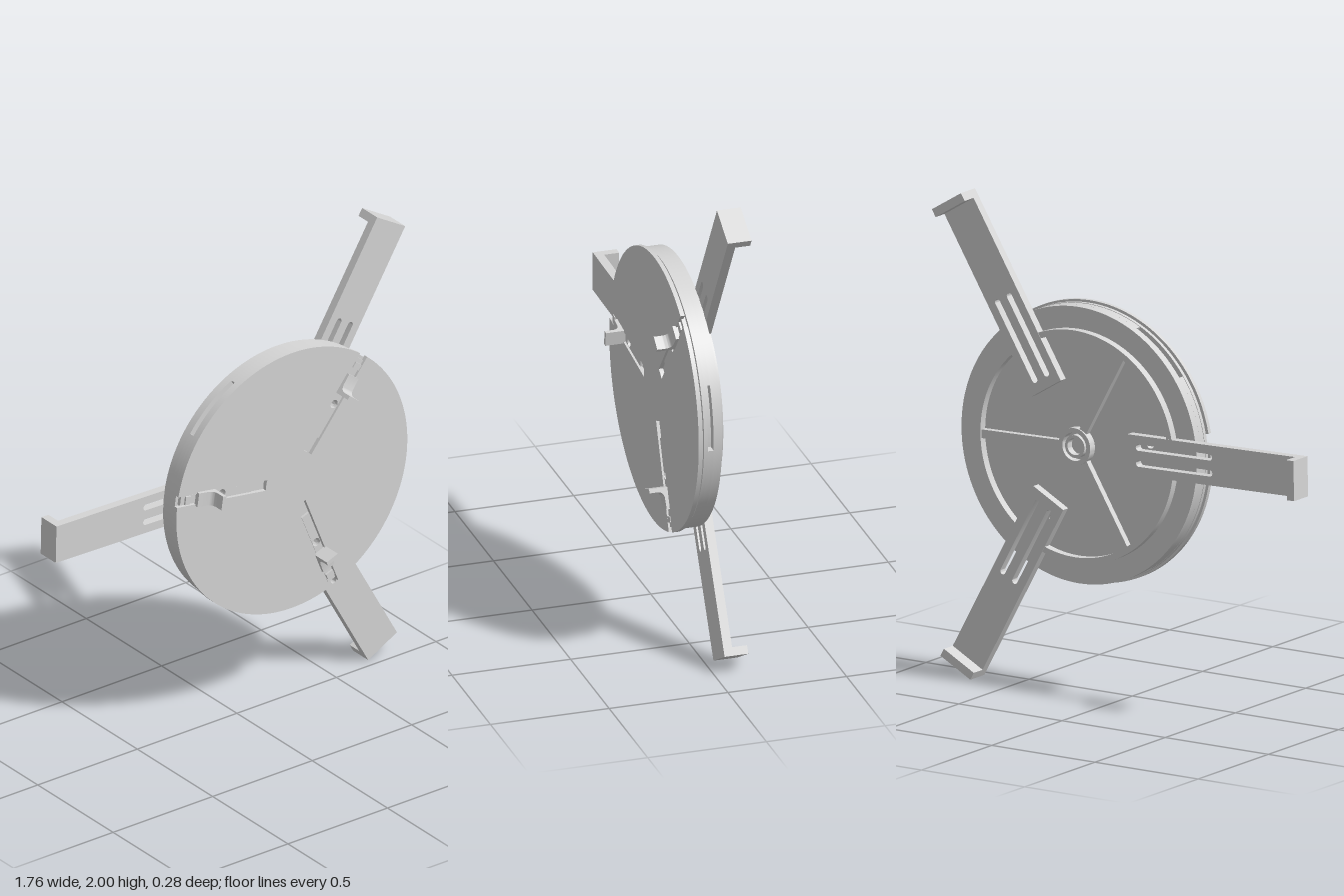
import * as THREE from 'three';
import { toCreasedNormals } from 'three/addons/utils/BufferGeometryUtils.js';

const rad = THREE.MathUtils.degToRad;
const ARM = 58.7;      // first arm angle, repeated every 120 degrees
const JAW = 51.5;      // first jaw slot angle
const WINDOW = 10.25;  // first rim window angle
const HOLE_R = 0.35;

const grey = new THREE.MeshStandardMaterial({ color: 0xd5d5d5 });
grey.name = 'lightGrey';

function add(parent, name, geometry) {
  const mesh = new THREE.Mesh(geometry, grey);
  mesh.name = name;
  parent.add(mesh);
  return mesh;
}

// Extrude a shape between two z heights
function slab(shape, z0, z1, segments = 32) {
  const g = new THREE.ExtrudeGeometry(shape, { depth: z1 - z0, bevelEnabled: false, curveSegments: segments });
  g.translate(0, 0, z0);
  return toCreasedNormals(g, rad(30));
}

function box(x0, x1, width, z0, z1) {
  return new THREE.BoxGeometry(x1 - x0, width, z1 - z0).translate((x0 + x1) / 2, 0, (z0 + z1) / 2);
}

function circle(r, x = 0, y = 0) {
  const s = new THREE.Shape();
  s.absarc(x, y, r, 0, Math.PI * 2, false);
  return s;
}

function ring(outer, inner) {
  const s = circle(outer);
  s.holes.push(circle(inner));
  return s;
}

// Part of a ring between two angles in degrees
function ringArc(outer, inner, from, to) {
  const s = new THREE.Shape();
  s.absarc(0, 0, outer, rad(from), rad(to), false);
  s.absarc(0, 0, inner, rad(to), rad(from), true);
  s.closePath();
  return s;
}

// Disc with three notches cut in from the rim
function notchedDisc(R, innerR, firstDeg, halfOuter, halfInner) {
  const s = new THREE.Shape();
  for (let k = 0; k < 3; k++) {
    const a = rad(firstDeg + 120 * k), b = a + rad(120);
    s.absarc(0, 0, innerR, a - halfInner, a + halfInner, false);
    s.absarc(0, 0, R, a + halfOuter, b - halfOuter, false);
  }
  s.closePath();
  return s;
}

// Small through holes below each jaw slot
function withJawHoles(s) {
  for (let k = 0; k < 3; k++) {
    const a = rad(JAW + 120 * k);
    s.holes.push(circle(0.018, HOLE_R * Math.cos(a), HOLE_R * Math.sin(a)));
  }
  return s;
}

// Rounded slot running along x
function slot(x0, x1, y, r) {
  const p = new THREE.Path();
  p.absarc(x1 - r, y, r, -Math.PI / 2, Math.PI / 2, false);
  p.absarc(x0 + r, y, r, Math.PI / 2, Math.PI * 1.5, false);
  p.closePath();
  return p;
}

function rectangle(x0, x1, width) {
  const h = width / 2;
  return new THREE.Shape([[x0, -h], [x1, -h], [x1, h], [x0, h]].map(([x, y]) => new THREE.Vector2(x, y)));
}

function makeArm() {
  const g = new THREE.Group();
  const s = rectangle(0.26, 1.108, 0.165);
  for (const y of [-0.033, 0.033]) s.holes.push(slot(0.3, 0.67, y, 0.013));
  add(g, 'armBar', slab(s, -0.077, -0.04, 8));
  add(g, 'armTip', box(1.073, 1.108, 0.165, -0.14, -0.07));
  return g;
}

function makeJaw() {
  const g = new THREE.Group();
  const s = rectangle(0.2, 0.56, 0.038);
  s.holes.push(circle(0.018, HOLE_R, 0));
  add(g, 'slider', slab(s, 0.038, 0.054, 12));
  add(g, 'sliderStop', box(0.515, 0.54, 0.036, 0.05, 0.062));
  // Upright gripping wall with a curved foot
  const p = new THREE.Shape();
  p.moveTo(0.395, 0.052);
  p.lineTo(0.485, 0.052);
  p.lineTo(0.485, 0.074);
  p.lineTo(0.44, 0.076);
  p.quadraticCurveTo(0.413, 0.078, 0.412, 0.105);
  p.lineTo(0.412, 0.138);
  p.lineTo(0.395, 0.138);
  p.closePath();
  const foot = slab(p, -0.03, 0.03, 10);
  foot.rotateX(Math.PI / 2);
  add(g, 'jawHook', foot);
  return g;
}

export function createModel() {
  const model = new THREE.Group();
  model.name = 'threeArmHolder';
  const body = new THREE.Group();
  body.name = 'body';
  body.position.set(0.23, 1.012, 0);
  model.add(body);

  // Disc stack from front to back
  const w = 0.023;
  add(body, 'frontPlate', slab(notchedDisc(0.58, 0.13, JAW, Math.asin(w / 0.58), Math.asin(w / 0.13)), 0.043, 0.061));
  add(body, 'neck', slab(withJawHoles(circle(0.555)), 0.036, 0.043, 64));
  add(body, 'middleFlange', slab(withJawHoles(circle(0.572)), 0.02, 0.036, 64));
  add(body, 'windowedLayer', slab(withJawHoles(notchedDisc(0.57, 0.535, WINDOW, rad(13.75), rad(13.75))), -0.005, 0.02));
  add(body, 'backDisc', slab(withJawHoles(circle(0.57)), -0.041, -0.005, 64));

  // Raised hub on the back
  add(body, 'hub', slab(ring(0.077, 0.058), -0.075, -0.04, 24));
  add(body, 'hubCore', slab(ring(0.047, 0.035), -0.072, -0.04, 24));

  for (let k = 0; k < 3; k++) {
    const angle = ARM + 120 * k;
    const arm = makeArm();
    arm.name = 'arm' + (k + 1);
    arm.rotation.z = rad(angle);
    body.add(arm);

    const jaw = makeJaw();
    jaw.name = 'jaw' + (k + 1);
    jaw.rotation.z = rad(JAW + 120 * k);
    body.add(jaw);

    // Raised rim and ribs between the arms
    add(body, 'backRim' + (k + 1), slab(ringArc(0.48, 0.455, angle + 9.5, angle + 110.5), -0.075, -0.04));
    const rib = add(body, 'backRib' + (k + 1), box(0.07, 0.46, 0.036, -0.068, -0.04));
    rib.rotation.z = rad(angle + 60);
  }
  return model;
}
